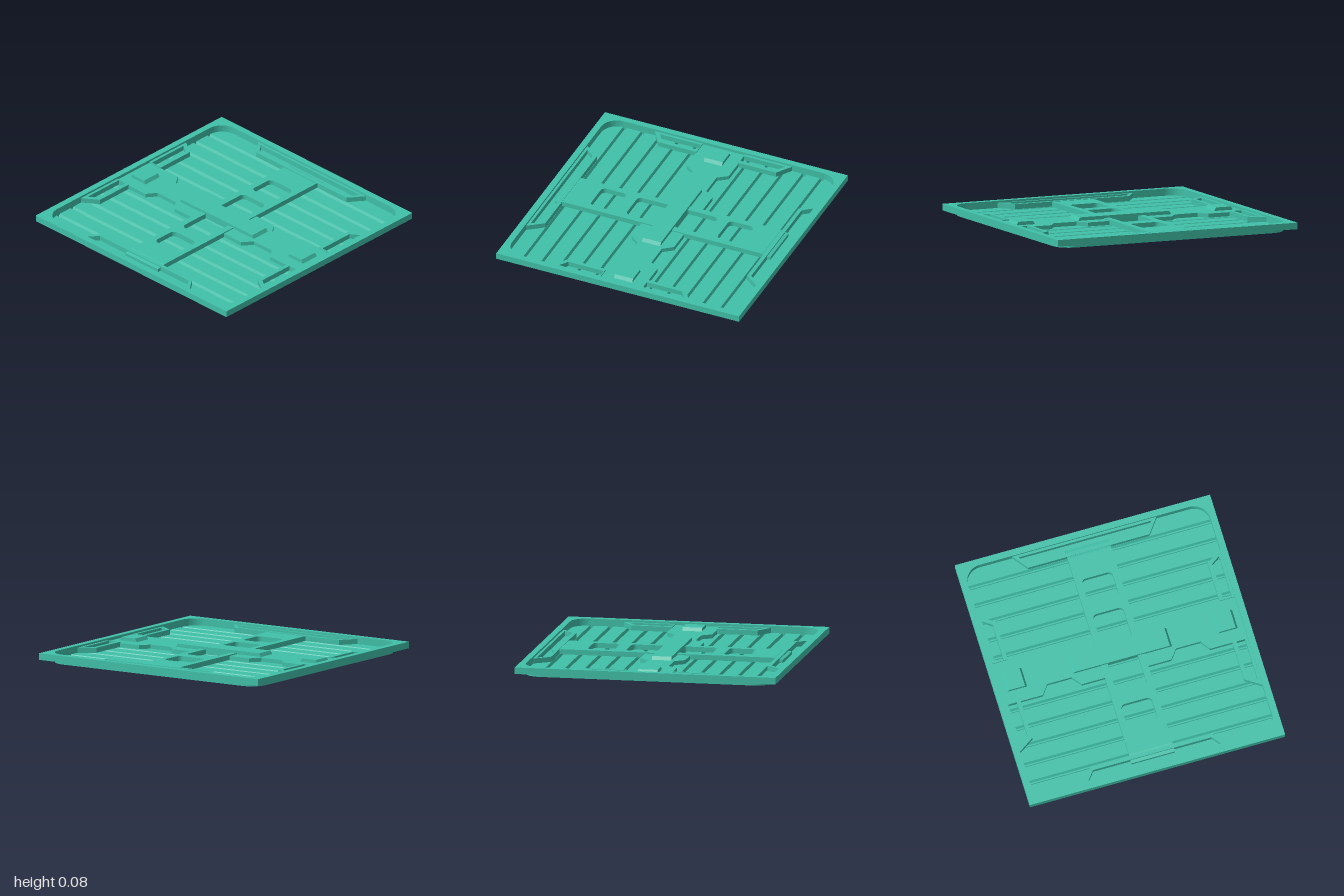
import * as THREE from 'three';

const TOP = 0.075, SKIRT = 0.025, FLOOR = 0.021, BASE = 0.0215;
const IN = 0.95, R = 0.13;

const V = (a) => a.map(([x, y]) => new THREE.Vector2(x, y));

// rounded rectangle outline, drawn into a Shape or Path
function roundRect(p, x0, x1, h, r) {
  p.moveTo(x0 + r, -h);
  p.lineTo(x1 - r, -h);
  p.absarc(x1 - r, -h + r, r, -Math.PI / 2, 0, false);
  p.lineTo(x1, h - r);
  p.absarc(x1 - r, h - r, r, 0, Math.PI / 2, false);
  p.lineTo(x0 + r, h);
  p.absarc(x0 + r, h - r, r, Math.PI / 2, Math.PI, false);
  p.lineTo(x0, -h + r);
  p.absarc(x0 + r, -h + r, r, Math.PI, Math.PI * 1.5, false);
  return p;
}

// flat plate from a plan outline, between two heights
function plate(shape, y0, y1) {
  const g = new THREE.ExtrudeGeometry(shape, { depth: y1 - y0, bevelEnabled: false, curveSegments: 8 });
  return g.rotateX(-Math.PI / 2).translate(0, y0, 0);
}

// strip of quads between two rows of points
function strip(a, b, smooth) {
  const pos = [], idx = [];
  a.forEach((p, i) => pos.push(...p, ...b[i]));
  for (let i = 0; i < a.length - 1; i++) {
    const k = i * 2;
    idx.push(k, k + 1, k + 2, k + 1, k + 3, k + 2);
  }
  let g = new THREE.BufferGeometry();
  g.setAttribute('position', new THREE.Float32BufferAttribute(pos, 3));
  g.setIndex(idx);
  if (!smooth) g = g.toNonIndexed();
  g.computeVertexNormals();
  return g;
}

export function createModel() {
  const group = new THREE.Group();
  const mat = new THREE.MeshStandardMaterial({ color: 0x40c0a8, side: THREE.DoubleSide });
  const add = (name, geo) => {
    const m = new THREE.Mesh(geo, mat);
    m.name = name;
    group.add(m);
    return m;
  };

  // rim: flat border with a rounded opening, and a skirt open underneath
  const border = new THREE.Shape(V([[-1, -1], [1, -1], [1, 1], [-1, 1]]));
  border.holes.push(roundRect(new THREE.Path(), -IN, IN, IN, R));
  add('rimTop', new THREE.ShapeGeometry(border, 10).rotateX(-Math.PI / 2).translate(0, TOP, 0));
  const square = [[-1, 1], [1, 1], [1, -1], [-1, -1], [-1, 1]];
  add('rimSkirt', strip(square.map(([x, z]) => [x, TOP, z]), square.map(([x, z]) => [x, SKIRT, z])));

  // wall of the recessed tray
  const ring = roundRect(new THREE.Shape(), -IN, IN, IN, R).getPoints(10);
  ring.push(ring[0].clone());
  add('trayWall', strip(ring.map((p) => [p.x, TOP, -p.y]), ring.map((p) => [p.x, 0, -p.y])));

  // grooved floor, trimmed to the rounded corners of the tray
  const section = [];
  for (let i = 0; i <= 8; i++) section.push([-IN + R * (1 - Math.cos((i / 8) * Math.PI / 2)) * 0.93, FLOOR]);
  for (let i = 0; i < 12; i++) {
    const x = (i - 5.5) * 0.1475;
    section.push([x - 0.017, FLOOR], [x - 0.006, 0.001], [x + 0.006, 0.001], [x + 0.017, FLOOR]);
  }
  for (let i = 8; i >= 0; i--) section.push([IN - R * (1 - Math.cos((i / 8) * Math.PI / 2)) * 0.93, FLOOR]);
  section.sort((a, b) => a[0] - b[0]);
  const zEnd = (x) => {
    const d = Math.max(0, Math.abs(x) - (IN - R));
    return IN - R + Math.sqrt(Math.max(0, R * R - d * d));
  };
  add('groovedFloor', strip(section.map(([x, y]) => [x, y, -zEnd(x)]), section.map(([x, y]) => [x, y, zEnd(x)])));

  // crossbar with four windows and sloping ends
  const barTop = 0.06;
  const bar = new THREE.Shape(V([[-0.815, -0.17], [0.815, -0.17], [0.815, 0.17], [-0.815, 0.17]]));
  for (const [a, b] of [[0.06, 0.33], [0.42, 0.625]]) {
    bar.holes.push(roundRect(new THREE.Path(), a, b, 0.12, 0.035));
    bar.holes.push(roundRect(new THREE.Path(), -b, -a, 0.12, 0.035));
  }
  add('crossbar', plate(bar, BASE, barTop));
  for (const s of [1, -1]) {
    const end = new THREE.Shape(V([[0.815, BASE], [0.885, BASE], [0.885, 0.045], [0.815, barTop]]));
    const g = new THREE.ExtrudeGeometry(end, { depth: 0.34, bevelEnabled: false }).translate(0, 0, -0.17);
    add('crossbarEnd', g).rotation.y = s > 0 ? 0 : Math.PI;
  }

  // waisted spine plates, front and back
  const half = [[0.175, 0.17], [0.175, 0.35], [0.1, 0.41], [0.1, 0.6], [0.175, 0.655], [0.175, IN]];
  const spine = new THREE.Shape(V([...half, ...half.map(([x, z]) => [-x, z]).reverse()]));
  for (const s of [0, 1]) add('spinePlate', plate(spine, BASE, 0.052)).rotation.y = s * Math.PI;

  // raised clips along the centre, with steep ends
  for (const [z0, z1] of [[-0.905, -0.75], [-0.39, 0.385], [0.745, 0.9]]) {
    const s = new THREE.Shape(V([[-z1, BASE], [-z0, BASE], [-z0, 0.052], [-z0 - 0.016, 0.078], [-z1 + 0.016, 0.078], [-z1, 0.052]]));
    const g = new THREE.ExtrudeGeometry(s, { depth: 0.15, bevelEnabled: false });
    add('centreClip', g.translate(0, 0, -0.075).rotateY(Math.PI / 2));
  }

  // open brackets against the tray walls, front and back
  const corner = new THREE.Shape(V([[0.17, 0.83], [0.485, 0.83], [0.565, IN], [0.17, IN]]));
  corner.holes.push(new THREE.Path(V([[0.178, 0.86], [0.468, 0.86], [0.515, 0.928], [0.178, 0.928]])));
  // and along the sides
  const side = new THREE.Shape(V([[IN, -0.565], [IN, 0.565], [0.83, 0.475], [0.83, -0.475]]));
  side.holes.push(new THREE.Path(V([[0.93, -0.52], [0.93, 0.52], [0.86, 0.465], [0.86, -0.465]])));
  for (const s of [0, 1]) {
    add('sideBracket', plate(side, BASE, 0.06)).rotation.y = s * Math.PI;
    for (const m of [1, -1]) {
      const mirror = (p) => new THREE.Vector2(p.x * m, p.y);
      const shape = new THREE.Shape(corner.getPoints().map(mirror));
      shape.holes.push(new THREE.Path(corner.holes[0].getPoints().map(mirror)));
      add('endBracket', plate(shape, BASE, 0.06)).rotation.y = s * Math.PI;
    }
  }
  return group;
}
